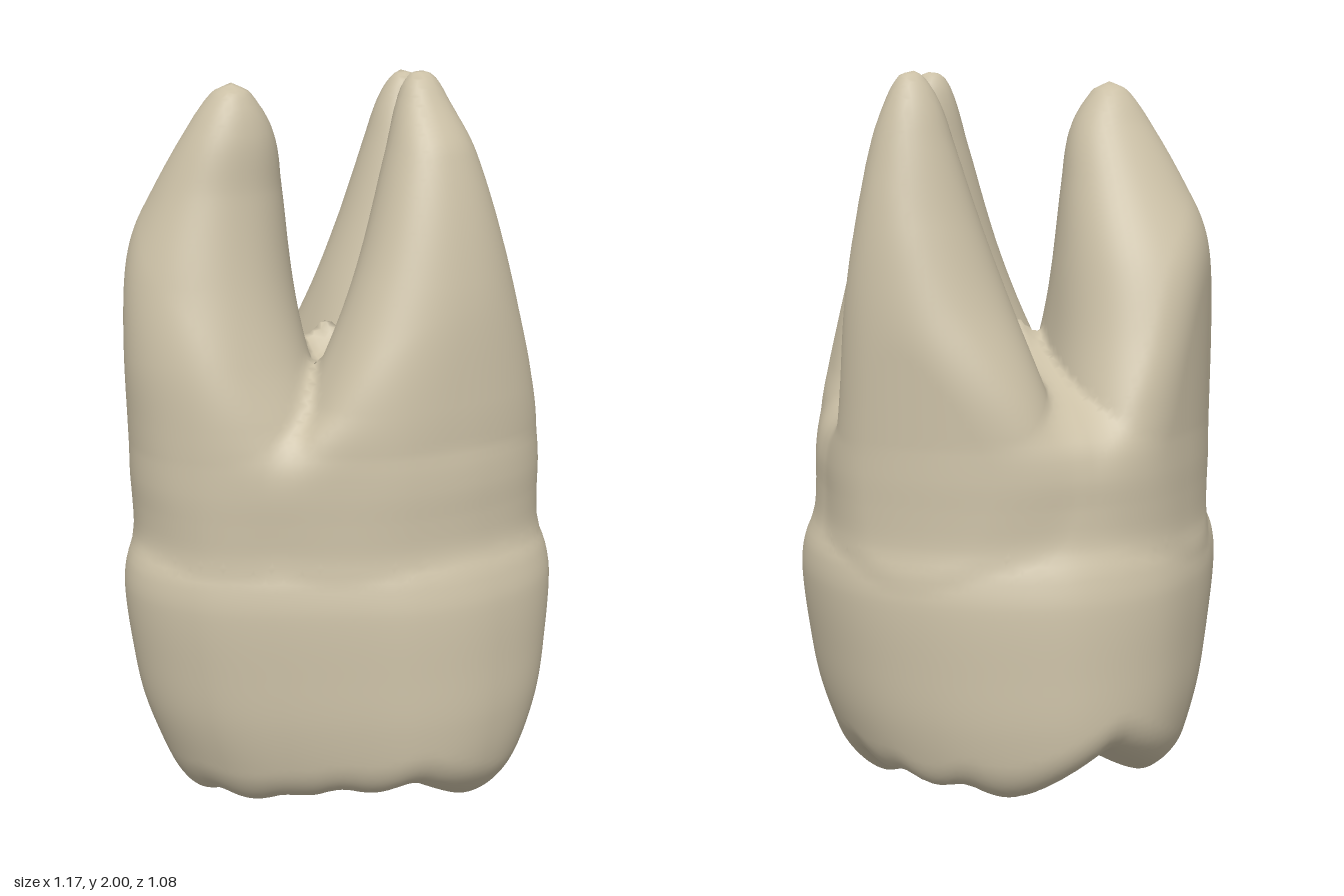
import * as THREE from 'three';

// Outline of the crown from above: radius every 22.5 degrees, from +x towards +z
const OUTLINE = [0.58, 0.6, 0.635, 0.58, 0.515, 0.46, 0.47, 0.535, 0.585, 0.545, 0.53, 0.54, 0.54, 0.525, 0.535, 0.56];

// Crown and neck: y, width scale, depth scale of the outline
const CROWN = [
  [0, 0.7, 0.79], [0.1, 0.77, 0.9], [0.2, 0.84, 0.97], [0.35, 0.925, 1], [0.5, 0.97, 0.99], [0.67, 1, 0.965],
  [0.75, 0.985, 0.925], [0.82, 0.935, 0.87], [0.9, 0.915, 0.85], [1, 0.9, 0.835], [1.08, 0.84, 0.78],
  [1.15, 0.68, 0.63], [1.27, 0.15, 0.15],
];

// Roots: y, then left, right, back and front limits of each cross-section
const BROAD_ROOT = [
  [0.8, -0.51, 0, -0.43, 0.28], [1, -0.555, 0, -0.475, 0.31], [1.15, -0.568, -0.035, -0.435, 0.255],
  [1.3, -0.577, -0.065, -0.385, 0.2], [1.5, -0.54, -0.09, -0.31, 0.14], [1.7, -0.455, -0.12, -0.2, 0.1],
  [1.85, -0.38, -0.155, -0.115, 0.085], [1.95, -0.31, -0.22, -0.05, 0.045], [1.972, -0.265, -0.265, 0, 0],
];
const FRONT_ROOT = [
  [0.8, -0.28, 0.48, 0, 0.44], [1, -0.32, 0.5, 0.01, 0.462], [1.1, -0.25, 0.485, 0.04, 0.46],
  [1.2, -0.17, 0.455, 0.062, 0.452], [1.5, -0.035, 0.385, 0.088, 0.41], [1.8, 0.07, 0.3, 0.105, 0.32],
  [1.93, 0.118, 0.246, 0.116, 0.235], [1.985, 0.15, 0.215, 0.137, 0.194], [2, 0.183, 0.183, 0.165, 0.165],
];
const BACK_ROOT = [
  [0.8, -0.03, 0.52, -0.44, 0.06], [1, -0.04, 0.535, -0.465, 0.075], [1.15, 0, 0.526, -0.435, 0.047],
  [1.4, 0.08, 0.505, -0.335, 0.02], [1.6, 0.15, 0.47, -0.275, -0.005], [1.8, 0.215, 0.425, -0.225, -0.035],
  [1.9, 0.25, 0.39, -0.195, -0.068], [1.965, 0.29, 0.354, -0.16, -0.1], [1.982, 0.322, 0.322, -0.13, -0.13],
];

// Cusps and marginal ridges of the chewing side: x, z, lowest y
const CUSPS = [
  [0.3, 0.28, -0.01], [-0.37, -0.05, 0.03], [-0.31, 0.14, 0.07], [-0.2, 0.24, 0.1], [-0.06, 0.34, 0.12],
  [0.16, -0.38, 0.155], [0.35, -0.32, 0.165], [0.43, -0.17, 0.175], [0.48, 0, 0.18], [-0.28, -0.27, 0.14],
];

const smoothMin = (a, b, k) => {
  const h = Math.max(k - Math.abs(a - b), 0) / k;
  return Math.min(a, b) - (h * h * k) / 4;
};
const smoothMax = (a, b, k) => -smoothMin(-a, -b, k);

// Smoothly interpolated cross-section row at a height
function rowAt(rows, height) {
  const last = rows.length - 1;
  const y = THREE.MathUtils.clamp(height, rows[0][0], rows[last][0]);
  let i = 0;
  while (i < last - 1 && y > rows[i + 1][0]) i++;
  const r0 = rows[Math.max(i - 1, 0)], r1 = rows[i], r2 = rows[i + 1], r3 = rows[Math.min(i + 2, last)];
  const d = r2[0] - r1[0], t = (y - r1[0]) / d, t2 = t * t, t3 = t2 * t;
  return r1.map((v, c) => {
    const m1 = ((r2[c] - r0[c]) / (r2[0] - r0[0])) * d, m2 = ((r3[c] - v) / (r3[0] - r1[0])) * d;
    return (2 * t3 - 3 * t2 + 1) * v + (t3 - 2 * t2 + t) * m1 + (3 * t2 - 2 * t3) * r2[c] + (t3 - t2) * m2;
  });
}

function outlineRadius(angle) {
  const n = OUTLINE.length, s = (angle / (2 * Math.PI) + 1) * n, i = Math.floor(s), t = s - i;
  const [a, b, c, d] = [-1, 0, 1, 2].map((k) => OUTLINE[(i + k + n) % n]);
  return b + 0.5 * t * (c - a + t * (2 * a - 5 * b + 4 * c - d + t * (3 * (b - c) + d - a)));
}

// Distance from the scaled outline: negative inside
function outlineField(x, z, sx, sz) {
  const u = x / sx, v = z / sz;
  return (Math.hypot(u, v) - outlineRadius(Math.atan2(v, u))) * Math.min(sx, sz);
}

function crownField(x, y, z) {
  const [, sx, sz] = rowAt(CROWN, y);
  const side = outlineField(x, z, sx, sz) + Math.max(y - 1.27, 0);
  if (y > 0.6) return side;
  let floor = 0.36;
  for (const [cx, cz, cy] of CUSPS) {
    floor = smoothMin(floor, cy + Math.hypot(0.72 * Math.hypot(x - cx, z - cz), 0.06) - 0.06, 0.035);
  }
  return smoothMax(side, (floor - y) * 0.8, 0.07);
}

// One root: squarer towards the neck, rounder towards the tip
function rootField(rows, x, y, z) {
  const [, x0, x1, z0, z1] = rowAt(rows, y);
  const a = Math.max((x1 - x0) / 2, 0.004), b = Math.max((z1 - z0) / 2, 0.004);
  const dx = Math.abs(x - (x0 + x1) / 2) / a, dz = Math.abs(z - (z0 + z1) / 2) / b;
  const power = 2.9 - 0.75 * THREE.MathUtils.smoothstep(y, 1, 1.5);
  const q = Math.pow(Math.pow(dx, power) + Math.pow(dz, power), 1 / power);
  return (q - 1) * Math.min(a, b) + Math.max(y - rows[rows.length - 1][0], rows[0][0] - y, 0);
}

// Whole tooth: the roots merge, stay within the neck outline and blend into the crown
function field(x, y, z) {
  const crown = crownField(x, y, z);
  if (y < 0.6) return crown;
  const roots = [BROAD_ROOT, FRONT_ROOT, BACK_ROOT]
    .map((rows) => rootField(rows, x, y, z))
    .reduce((a, b) => smoothMin(a, b, 0.04));
  return smoothMin(crown, smoothMax(roots, outlineField(x, z, 0.965, 0.87), 0.05), 0.05);
}

// Skin the blended field: one vertex in each crossed cell, one quad on each crossed edge
function skin() {
  const step = 0.021, origin = [-0.68, -0.07, -0.65], size = [66, 104, 63];
  const stride = [1, size[0], size[0] * size[1]];
  const values = new Float32Array(size[0] * size[1] * size[2]);
  const cellVertex = new Int32Array(values.length).fill(-1);
  const eachCell = (start, fn) => {
    for (let k = start; k < size[2] - 1; k++)
      for (let j = start; j < size[1] - 1; j++)
        for (let i = start; i < size[0] - 1; i++) fn(i + j * stride[1] + k * stride[2], [i, j, k]);
  };
  for (let n = 0; n < values.length; n++) {
    const i = n % size[0], j = Math.floor(n / stride[1]) % size[1], k = Math.floor(n / stride[2]);
    values[n] = field(origin[0] + i * step, origin[1] + j * step, origin[2] + k * step);
  }

  const positions = [], normals = [], crown = [], roots = [];
  const gradient = (x, y, z, e = 0.008) => new THREE.Vector3(
    field(x + e, y, z) - field(x - e, y, z),
    field(x, y + e, z) - field(x, y - e, z),
    field(x, y, z + e) - field(x, y, z - e),
  ).divideScalar(2 * e);

  eachCell(0, (n, cell) => {
    const sum = [0, 0, 0];
    let count = 0;
    for (let corner = 0; corner < 8; corner++) {
      const bits = [corner & 1, (corner >> 1) & 1, corner >> 2];
      const p = n + bits[0] + bits[1] * stride[1] + bits[2] * stride[2];
      for (let a = 0; a < 3; a++) {
        if (bits[a]) continue;
        const v0 = values[p], v1 = values[p + stride[a]];
        if (v0 < 0 === v1 < 0) continue;
        for (let c = 0; c < 3; c++) sum[c] += bits[c] + (c === a ? v0 / (v0 - v1) : 0);
        count++;
      }
    }
    if (!count) return;
    const p = new THREE.Vector3(...sum.map((s, c) => origin[c] + (cell[c] + s / count) * step));
    const g = gradient(p.x, p.y, p.z);
    const shift = -field(p.x, p.y, p.z) / Math.max(g.lengthSq(), 0.3);
    p.addScaledVector(g, THREE.MathUtils.clamp(shift, -step / 3, step / 3));
    cellVertex[n] = positions.length / 3;
    positions.push(p.x, p.y, p.z);
    normals.push(...gradient(p.x, p.y, p.z).normalize().toArray());
  });

  eachCell(1, (n, cell) => {
    for (let a = 0; a < 3; a++) {
      const inside = values[n] < 0;
      if (inside === values[n + stride[a]] < 0) continue;
      const b = stride[(a + 1) % 3], c = stride[(a + 2) % 3];
      const q = [n - b - c, n - c, n, n - b].map((m) => cellVertex[m]);
      if (!inside) q.reverse();
      // The neck line divides crown from roots
      (origin[1] + cell[1] * step < 0.82 ? crown : roots).push(q[0], q[1], q[2], q[0], q[2], q[3]);
    }
  });

  return [crown, roots].map((index) => {
    const geometry = new THREE.BufferGeometry();
    geometry.setAttribute('position', new THREE.Float32BufferAttribute(positions, 3));
    geometry.setAttribute('normal', new THREE.Float32BufferAttribute(normals, 3));
    geometry.setIndex(index);
    return geometry;
  });
}

export function createModel() {
  const model = new THREE.Group();
  model.name = 'molarTooth';
  const ivory = new THREE.MeshStandardMaterial({ color: 0xcbc0a6 });
  ivory.name = 'ivory';
  skin().forEach((geometry, i) => {
    const mesh = new THREE.Mesh(geometry, ivory);
    mesh.name = ['crown', 'roots'][i];
    model.add(mesh);
  });
  return model;
}
